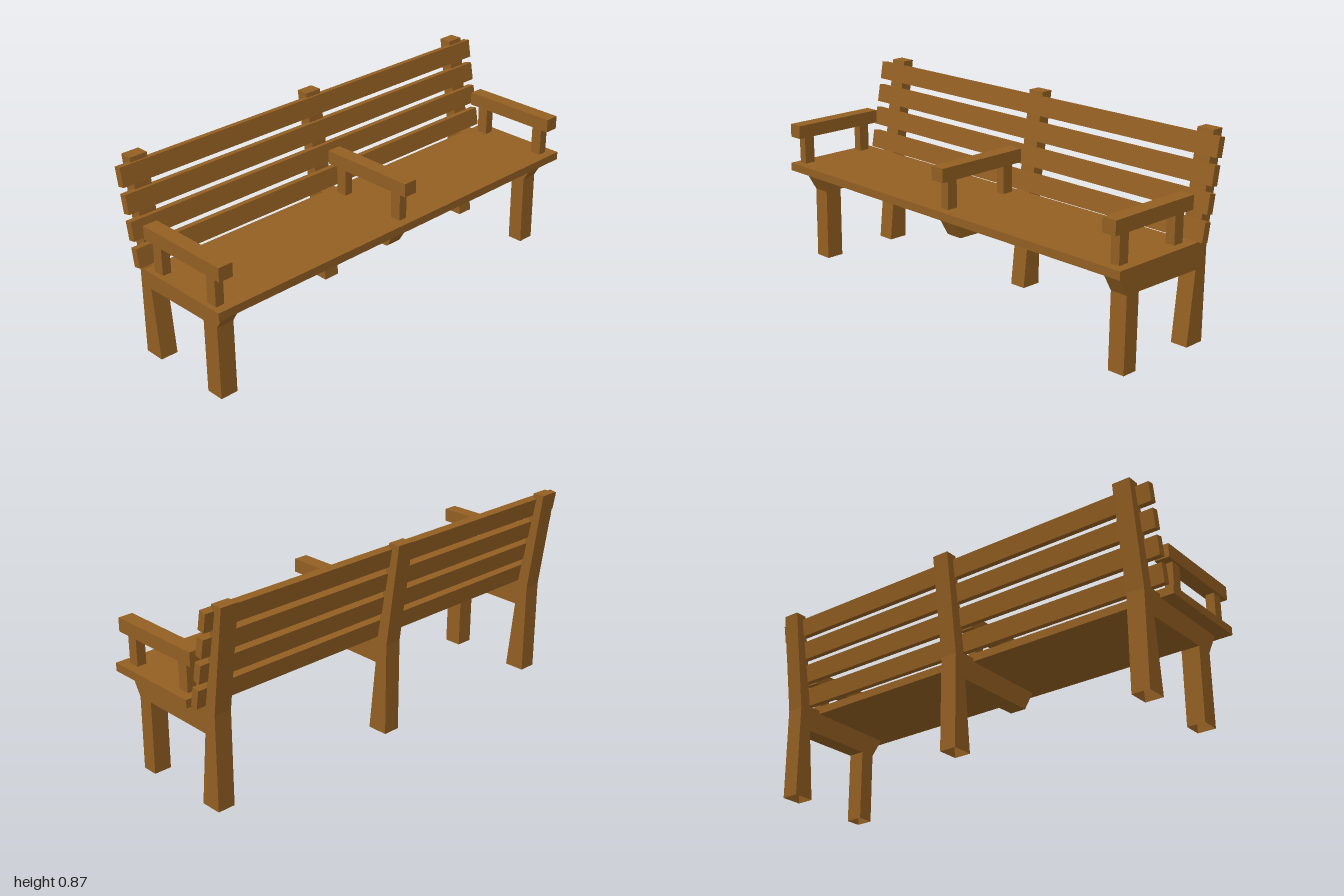
import * as THREE from 'three';

export function createModel() {
  const bench = new THREE.Group();
  bench.name = 'parkBench';
  const wood = new THREE.MeshStandardMaterial({ color: 0x935f22, side: THREE.DoubleSide });
  wood.name = 'brown wood';

  // Box given by its [min, max] range on each axis
  function board(name, [x0, x1], [y0, y1], [z0, z1], parent = bench) {
    const mesh = new THREE.Mesh(new THREE.BoxGeometry(x1 - x0, y1 - y0, z1 - z0), wood);
    mesh.position.set((x0 + x1) / 2, (y0 + y1) / 2, (z0 + z1) / 2);
    mesh.name = name;
    parent.add(mesh);
    return mesh;
  }

  // Side profile (z, y) extruded across x; the feet are left open underneath
  function frame(name, [x0, x1], frontLeg) {
    const profile = [
      [-0.153, 0], [-0.248, 0], [-0.25, 0.416], [-0.315, 0.871], [-0.26, 0.871],
      [-0.198, 0.436], [-0.12, 0.436], [-0.12, 0.421], [0.282, 0.421], [0.226, 0.325],
      ...frontLeg, [-0.188, 0.32],
    ];
    const shape = new THREE.Shape(profile.map(([z, y]) => new THREE.Vector2(z, y)));
    const solid = new THREE.ExtrudeGeometry(shape, { depth: x1 - x0, bevelEnabled: false });
    solid.rotateY(-Math.PI / 2).translate(x1, 0, 0);
    const p = solid.attributes.position;
    const kept = [];
    for (let i = 0; i < p.count; i += 3) {
      if (Math.max(p.getY(i), p.getY(i + 1), p.getY(i + 2)) < 0.01) continue;
      for (let j = i; j < i + 3; j++) kept.push(p.getX(j), p.getY(j), p.getZ(j));
    }
    const geometry = new THREE.BufferGeometry();
    geometry.setAttribute('position', new THREE.Float32BufferAttribute(kept, 3));
    geometry.computeVertexNormals();
    const mesh = new THREE.Mesh(geometry, wood);
    mesh.name = name;
    bench.add(mesh);
  }

  // Three supports; the middle one has no front leg
  frame('rightFrame', [-0.94, -0.86], [[0.23, 0], [0.148, 0], [0.145, 0.324]]);
  frame('middleFrame', [-0.025, 0.053], []);
  frame('leftFrame', [0.88, 0.958], [[0.23, 0], [0.16, 0], [0.157, 0.324]]);

  // Seat
  board('seat', [-1, 1], [0.42, 0.456], [-0.135, 0.318]);

  // Tilted backrest slats
  [[0.483, -0.189], [0.593, -0.211], [0.702, -0.232], [0.811, -0.253]].forEach(([y, z], i) => {
    const slat = board('backSlat' + (i + 1), [-1, 1], [y - 0.041, y + 0.041], [z - 0.017, z + 0.017]);
    slat.rotation.x = -0.18;
  });

  // Armrests, each on two short posts
  const arms = [
    ['rightArmrest', [-0.99, -0.925], [-0.98, -0.94]],
    ['middleArmrest', [-0.018, 0.048], [-0.005, 0.035]],
    ['leftArmrest', [0.908, 0.973], [0.918, 0.96]],
  ];
  for (const [name, railX, postX] of arms) {
    const arm = new THREE.Group();
    arm.name = name;
    board('armRail', railX, [0.583, 0.643], [-0.135, 0.318], arm);
    board('frontArmPost', postX, [0.456, 0.583], [0.228, 0.278], arm);
    board('rearArmPost', postX, [0.456, 0.583], [-0.094, -0.043], arm);
    bench.add(arm);
  }
  return bench;
}
